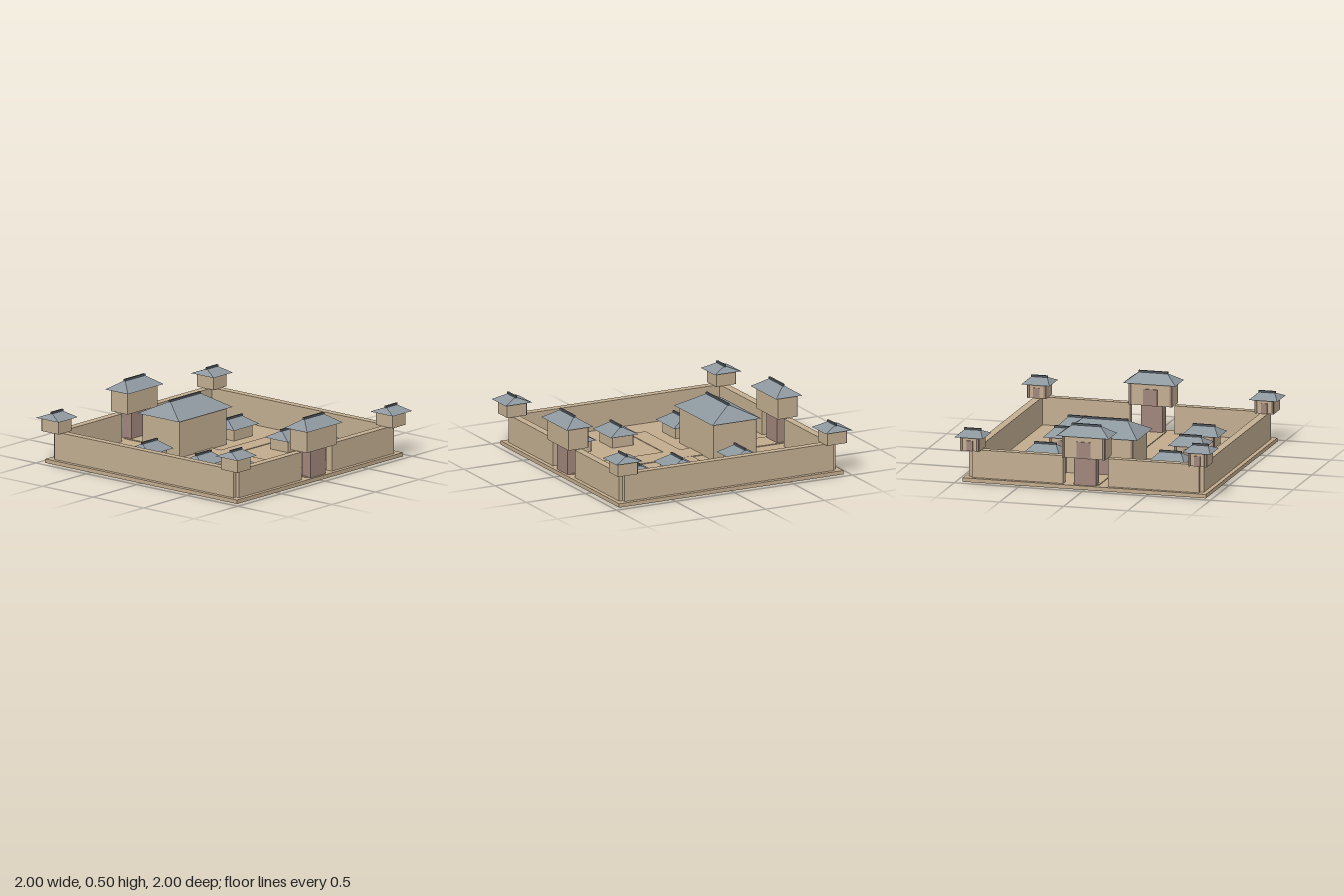
import * as THREE from 'three';

const mat = (name, color) => Object.assign(new THREE.MeshStandardMaterial({ color }), { name });

export function createModel() {
  const wallMat = mat('tan wall', 0xc2ae91);
  const groundMat = mat('earth ground', 0xc2ab8d);
  const roofMat = mat('grey roof tile', 0x8d979e);
  const ridgeMat = mat('dark ridge tile', 0x565c61);
  const woodMat = mat('red-brown wood', 0xa0857a);

  const model = new THREE.Group();
  model.name = 'walledCompound';

  // Box given by its centre in x and z and its bottom in y
  function box(parent, name, material, w, h, d, x, y, z) {
    const mesh = new THREE.Mesh(new THREE.BoxGeometry(w, h, d), material);
    mesh.name = name;
    mesh.position.set(x, y + h / 2, z);
    parent.add(mesh);
    return mesh;
  }

  // Hip roof: a box whose top is drawn in to a short ridge
  function hipRoof(w, h, d, ridge) {
    const box = new THREE.BoxGeometry(w, h, d);
    const p = box.attributes.position;
    for (let i = 0; i < p.count; i++) {
      if (p.getY(i) > 0) {
        p.setX(i, Math.sign(p.getX(i)) * ridge / 2);
        p.setZ(i, Math.sign(p.getZ(i)) * 0.004);
      }
    }
    const geometry = box.toNonIndexed();
    geometry.computeVertexNormals();
    return geometry;
  }

  // Building with a hip roof, ridge cap, and a columned facade on its -z side
  function building(name, x, y, z, s) {
    const g = new THREE.Group();
    g.name = name;
    g.position.set(x, y, z);
    box(g, 'body', wallMat, s.w, s.h, s.d, 0, 0, 0);
    const roof = new THREE.Mesh(hipRoof(s.roofW, s.roofH, s.roofD, s.ridge), roofMat);
    roof.name = 'roof';
    roof.position.y = s.h + s.roofH / 2;
    g.add(roof);
    box(g, 'ridgeCap', ridgeMat, s.ridge + 0.01, 0.016, 0.016, 0, s.h + s.roofH - 0.004, 0);
    box(g, 'door', woodMat, s.w * 0.32, s.h * 0.75, 0.008, 0, 0, -s.d / 2 - 0.004);
    for (const side of [-1, 1]) {
      const column = new THREE.Mesh(new THREE.CylinderGeometry(0.009, 0.009, s.h, 8), woodMat);
      column.name = 'column';
      column.position.set(side * (s.w / 2 - 0.012), s.h / 2, -s.d / 2 - 0.004);
      g.add(column);
    }
    model.add(g);
  }

  // Ground slab with low paths
  box(model, 'ground', groundMat, 1.9, 0.03, 1.9, 0, 0, 0);
  box(model, 'mainPath', groundMat, 0.2, 0.006, 1.8, 0, 0.03, 0);
  box(model, 'crossPath', groundMat, 1.3, 0.005, 0.14, 0, 0.03, -0.05);

  // Outer walls, stopping at the corner centre lines, with gaps at the gates
  const W = 0.887, GAP = 0.175, WALL_H = 0.215;
  for (const a of [-1, 1]) {
    box(model, 'sideWall', wallMat, 0.06, WALL_H, 2 * W, a * W, 0.03, 0);
    for (const b of [-1, 1]) {
      box(model, 'gateWall', wallMat, W - GAP, WALL_H, 0.06, b * (W + GAP) / 2, 0.03, a * W);
    }
  }

  // Gate blocks, gatehouses and corner towers
  const gatehouse = { w: 0.34, h: 0.17, d: 0.16, roofW: 0.41, roofH: 0.069, roofD: 0.225, ridge: 0.22 };
  const tower = { w: 0.15, h: 0.105, d: 0.16, roofW: 0.222, roofH: 0.042, roofD: 0.225, ridge: 0.12 };
  for (const a of [-1, 1]) {
    box(model, 'gate', woodMat, 0.17, WALL_H, 0.085, 0, 0.03, a * W);
    building('gatehouse', 0, 0.245, a * W, gatehouse);
    for (const b of [-1, 1]) building('cornerTower', b * 0.889, 0.245, a * W, tower);
  }

  // Main hall and the side houses
  building('mainHall', 0, 0.03, -0.387,
    { w: 0.54, h: 0.288, d: 0.36, roofW: 0.615, roofH: 0.1, roofD: 0.415, ridge: 0.345 });
  const house = { w: 0.21, h: 0.092, d: 0.17, roofW: 0.288, roofH: 0.058, roofD: 0.238, ridge: 0.165 };
  for (const side of [-1, 1]) {
    for (const z of [-0.317, 0.218, 0.573]) building('sideHouse', side * 0.488, 0.03, z, house);
  }
  return model;
}
